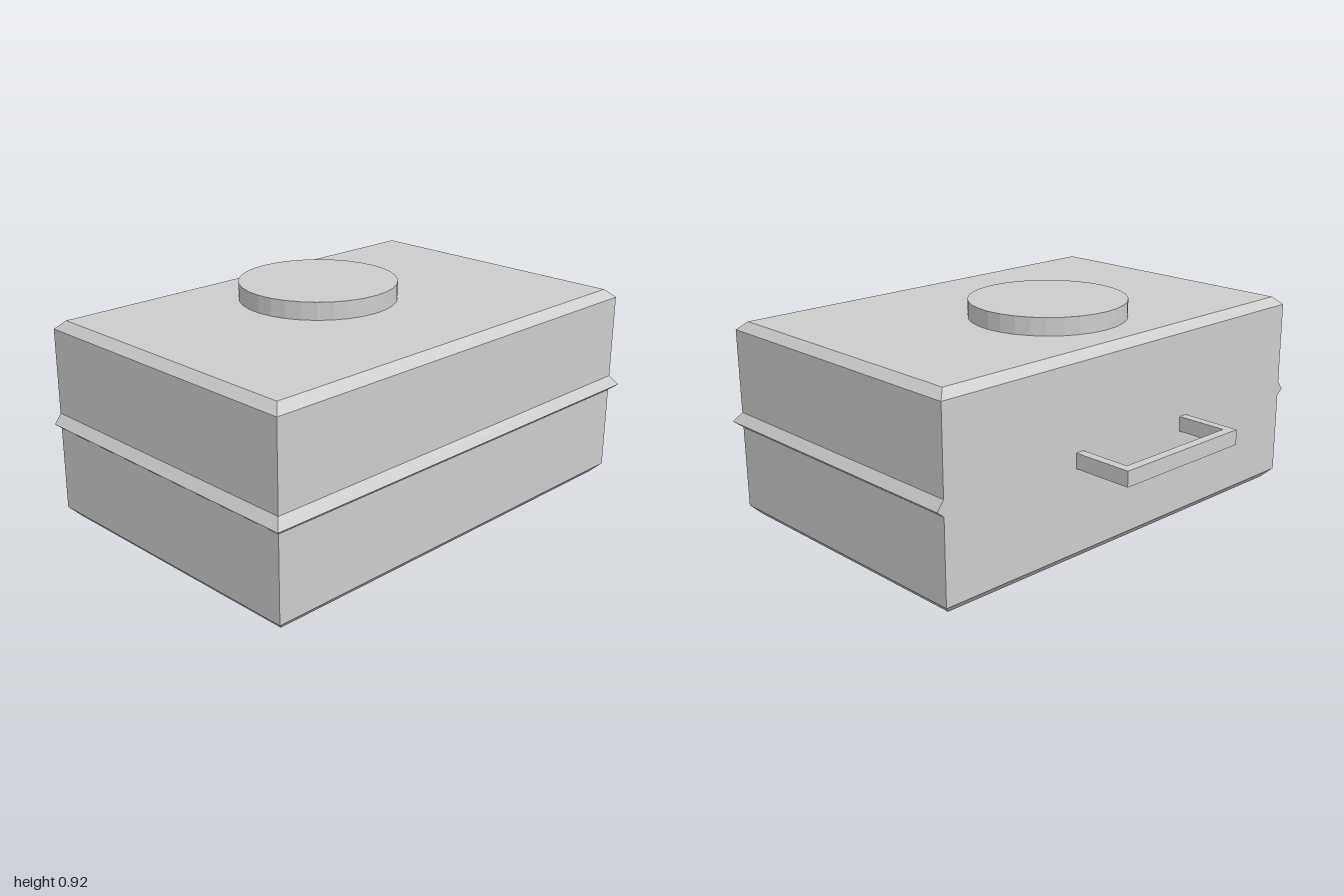
import * as THREE from 'three';

const material = new THREE.MeshStandardMaterial({ color: 0xcccccc, flatShading: true });

function part(name, geometry, x = 0, y = 0, z = 0) {
  const mesh = new THREE.Mesh(geometry, material);
  mesh.name = name;
  mesh.position.set(x, y, z);
  return mesh;
}

// Closed solid through stacked rectangles, each [y, half width, back z, front z]
function stackedRectangles(levels) {
  const rings = levels.map(([y, w, back, front]) =>
    [[-w, y, back], [-w, y, front], [w, y, front], [w, y, back]]);
  const positions = [];
  const quad = (a, b, c, d) => positions.push(...a, ...b, ...c, ...a, ...c, ...d);
  for (let i = 0; i < rings.length - 1; i++) {
    const low = rings[i], high = rings[i + 1];
    for (let j = 0; j < 4; j++) {
      const k = (j + 1) % 4;
      quad(low[j], low[k], high[k], high[j]);
    }
  }
  quad(...[...rings[0]].reverse());
  quad(...rings[rings.length - 1]);
  const geometry = new THREE.BufferGeometry();
  geometry.setAttribute('position', new THREE.Float32BufferAttribute(positions, 3));
  geometry.computeVertexNormals();
  return geometry;
}

export function createModel() {
  const model = new THREE.Group();
  model.name = 'case';

  // Bevelled case; the seam ridge runs round the front and sides, the back stays flat
  model.add(part('caseBody', stackedRectangles([
    [0, 0.932, -0.492, 0.722],
    [0.04, 0.97, -0.53, 0.76],
    [0.39, 0.97, -0.53, 0.76],
    [0.415, 1.0, -0.53, 0.79],
    [0.455, 0.97, -0.53, 0.76],
    [0.808, 0.97, -0.53, 0.76],
    [0.842, 0.934, -0.495, 0.722],
  ])));

  // Round disc on the lid
  model.add(part('lidDisc', new THREE.CylinderGeometry(0.329, 0.329, 0.085, 32), -0.005, 0.873, -0.045));

  // Square-section handle on the back
  const outline = new THREE.Shape([
    [-0.324, 0.53], [-0.324, 0.79], [0.32, 0.79], [0.32, 0.53],
    [0.282, 0.53], [0.282, 0.75], [-0.286, 0.75], [-0.286, 0.53],
  ].map(([x, y]) => new THREE.Vector2(x, y)));
  const handle = new THREE.ExtrudeGeometry(outline, { depth: 0.064, bevelEnabled: false });
  handle.rotateX(-Math.PI / 2);
  model.add(part('handle', handle, 0, 0.39, 0));

  return model;
}
